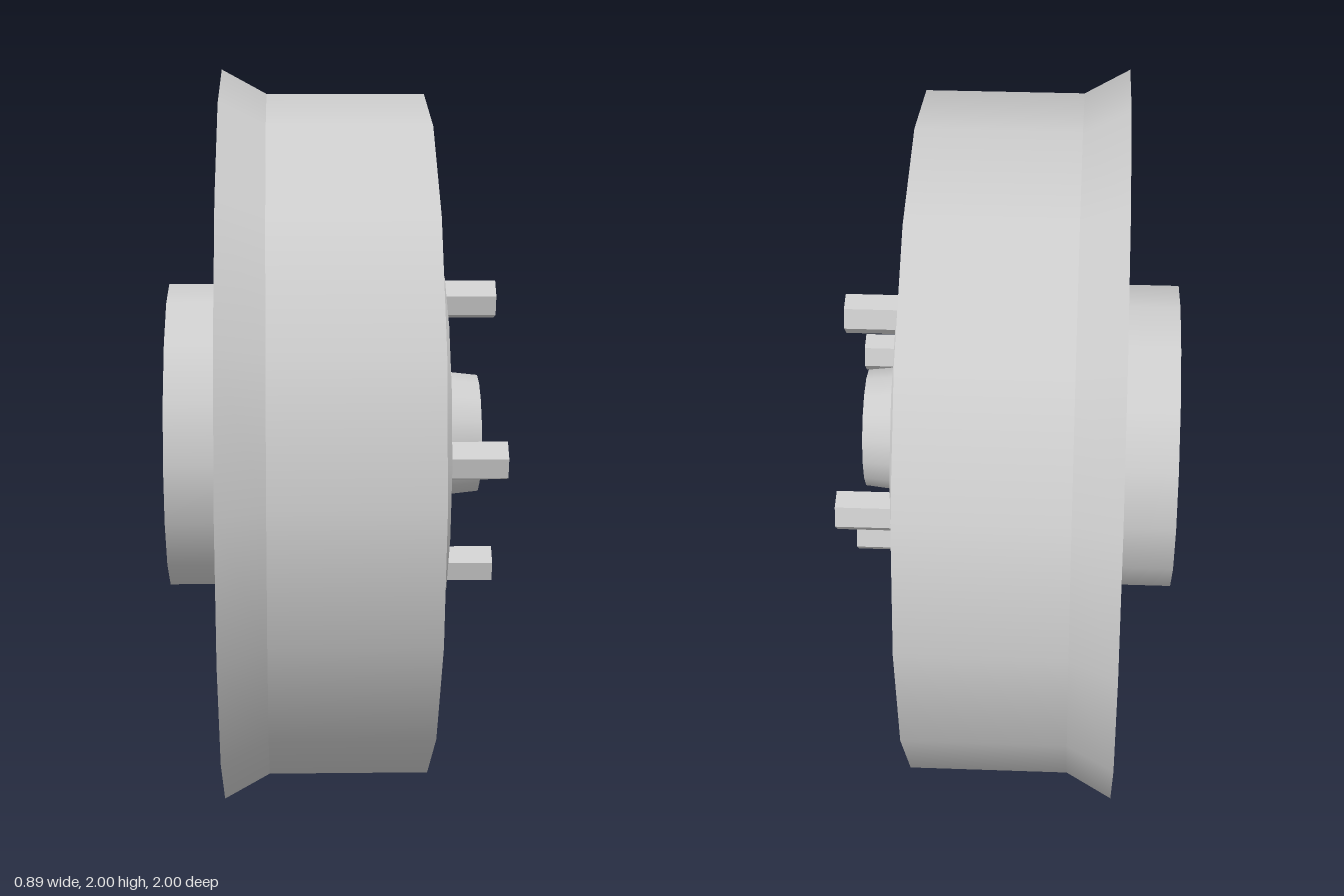
import * as THREE from 'three';

const SIDES = 16;

// Closed cylinder or cone section lying along x, from x0 (radius r0) to x1 (radius r1)
function section(name, x0, x1, r0, r1, sides = SIDES, start = 0, flatShading = false) {
  const geometry = new THREE.CylinderGeometry(r1, r0, x1 - x0, sides, 1, false, start, Math.PI * 2);
  geometry.rotateZ(-Math.PI / 2);
  geometry.translate((x0 + x1) / 2, 0, 0);
  const mesh = new THREE.Mesh(geometry, new THREE.MeshStandardMaterial({ color: 0xcccccc, flatShading }));
  mesh.name = name;
  return mesh;
}

export function createModel() {
  const group = new THREE.Group();
  group.name = 'brakeDrum';

  const axle = new THREE.Group();
  axle.name = 'drumAssembly';
  axle.position.y = 1;
  group.add(axle);

  // Drum body with flared rear lip, rear boss and raised hub
  axle.add(
    section('rearBoss', -0.45, -0.3, 0.42, 0.42),
    section('flaredLip', -0.3, -0.18, 1, 0.935),
    section('drum', -0.18, 0.245, 0.935, 0.935),
    section('hubPlate', 0.245, 0.292, 0.55, 0.495),
    section('centreCap', 0.292, 0.4, 0.176, 0.164)
  );

  // Four hexagonal wheel studs, all turned the same way
  for (let i = 0; i < 4; i++) {
    const angle = (i * Math.PI) / 2;
    const stud = section('wheelStud', 0.292, 0.445, 0.055, 0.055, 6, -Math.PI / 12, true);
    stud.position.set(0, 0.376 * Math.cos(angle), 0.376 * Math.sin(angle));
    axle.add(stud);
  }

  return group;
}
